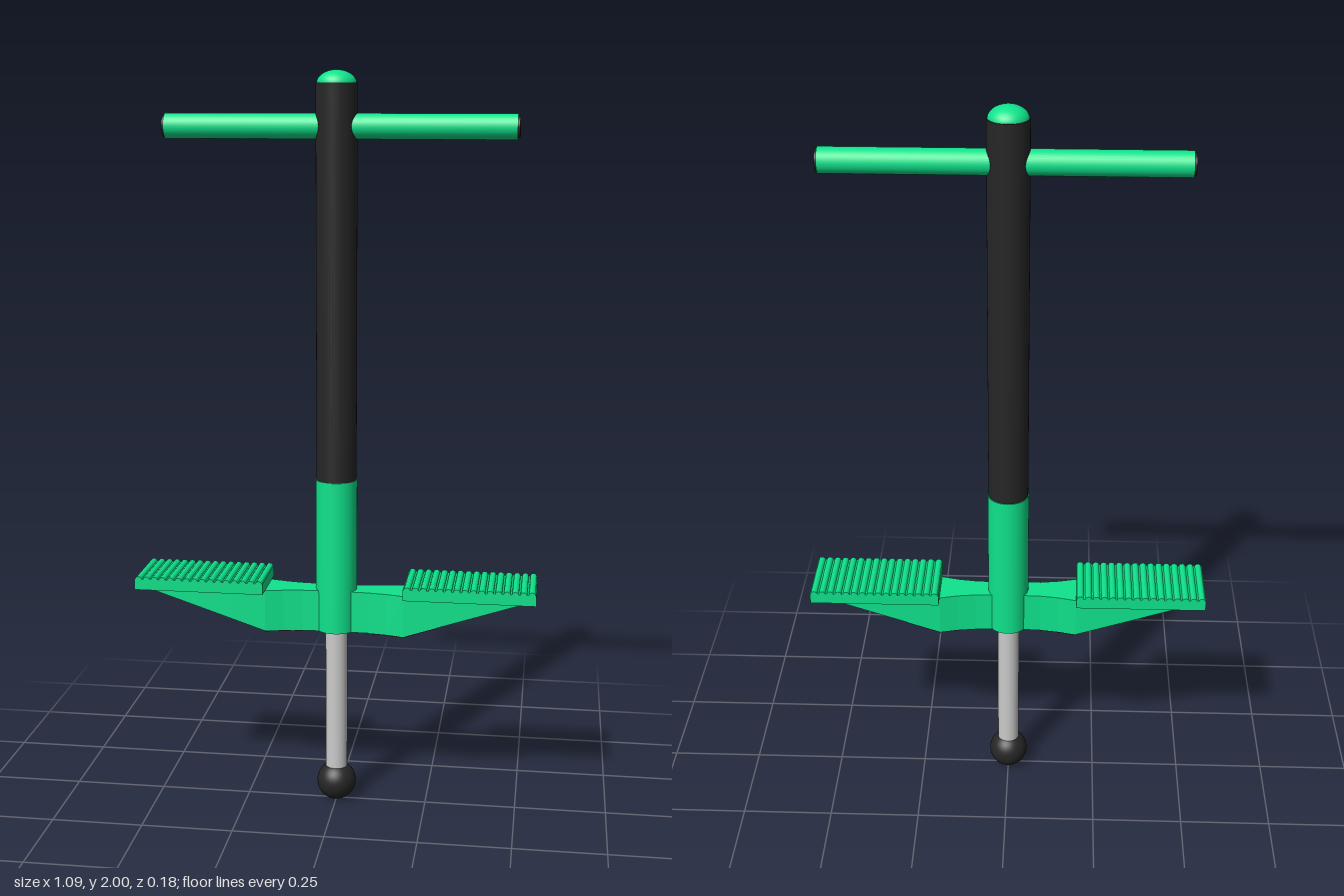
import * as THREE from 'three';

const mat = (color) => new THREE.MeshStandardMaterial({ color });
const green = mat(0x0fe38c), black = mat(0x262626), grey = mat(0xcccccc);

// Wing sections along x: [x, half width in z, underside y]
const SECTIONS = [[0, 0.033, 0.503], [0.09, 0.035, 0.503], [0.14, 0.042, 0.503],
  [0.19, 0.054, 0.503], [0.28, 0.054, 0.533], [0.535, 0.052, 0.617]];

// Box swept through sections; topY(x, bottomY) gives the upper edge
function sweep(sections, topY) {
  const n = sections.length - 1;
  const geo = new THREE.BoxGeometry(n, 2, 2, n, 1, 1);
  const p = geo.attributes.position;
  for (let i = 0; i < p.count; i++) {
    const [x, half, low] = sections[Math.round(p.getX(i) + n / 2)];
    p.setXYZ(i, x, p.getY(i) > 0 ? topY(low) : low, Math.sign(p.getZ(i)) * half);
  }
  const flat = geo.toNonIndexed();
  flat.computeVertexNormals();
  return flat;
}

export function createModel() {
  const group = new THREE.Group();
  const add = (name, geo, material, x = 0, y = 0, z = 0, parent = group) => {
    const mesh = new THREE.Mesh(geo, material);
    mesh.name = name;
    mesh.position.set(x, y, z);
    parent.add(mesh);
    return mesh;
  };
  const tube = (name, r, y0, y1, material) =>
    add(name, new THREE.CylinderGeometry(r, r, y1 - y0, 40), material, 0, (y0 + y1) / 2);

  // Central column
  add('footBall', new THREE.SphereGeometry(0.054, 32, 24), black, 0, 0.054);
  tube('springRod', 0.03, 0.08, 0.52, grey);
  tube('lowerSleeve', 0.056, 0.503, 0.925, green);
  tube('upperTube', 0.054, 0.92, 1.968, black);
  const dome = add('topCap', new THREE.SphereGeometry(0.052, 32, 12, 0, Math.PI * 2, 0, Math.PI / 2), green, 0, 1.965);
  dome.scale.y = 0.035 / 0.052;

  // Handlebar with dark end caps
  const bar = add('handlebar', new THREE.CylinderGeometry(0.033, 0.033, 0.915, 32), green, 0.0075, 1.858);
  bar.rotation.z = Math.PI / 2;
  for (const s of [-1, 1]) {
    const cap = add('handleEnd', new THREE.CylinderGeometry(0.028, 0.028, 0.01, 32), black, 0.0075 + s * 0.458, 1.858);
    cap.rotation.z = Math.PI / 2;
  }

  // Foot rests, one on each side
  for (const s of [1, -1]) {
    const side = new THREE.Group();
    side.name = s > 0 ? 'leftFootRest' : 'rightFootRest';
    side.rotation.y = s > 0 ? 0 : Math.PI;
    group.add(side);
    add('wing', sweep(SECTIONS, () => 0.618), green, 0, 0, 0, side);

    // Dark lining under the wing
    const lining = SECTIONS.slice(1, s > 0 ? 5 : 4);
    add('underside', sweep(lining, (low) => low + 0.002), black, 0, -0.0015, 0, side);

    // Pad with grip ridges running front to back
    add('pad', new THREE.BoxGeometry(0.355, 0.03, 0.178), green, 0.3675, 0.632, 0, side);
    const ridge = new THREE.CylinderGeometry(0.0095, 0.0095, 0.178, 12);
    ridge.rotateX(Math.PI / 2);
    const count = 16, step = 0.355 / count;
    for (let i = 0; i < count; i++) {
      add('gripRidge', ridge, green, 0.19 + (i + 0.5) * step, 0.645, 0, side);
    }
  }
  return group;
}
